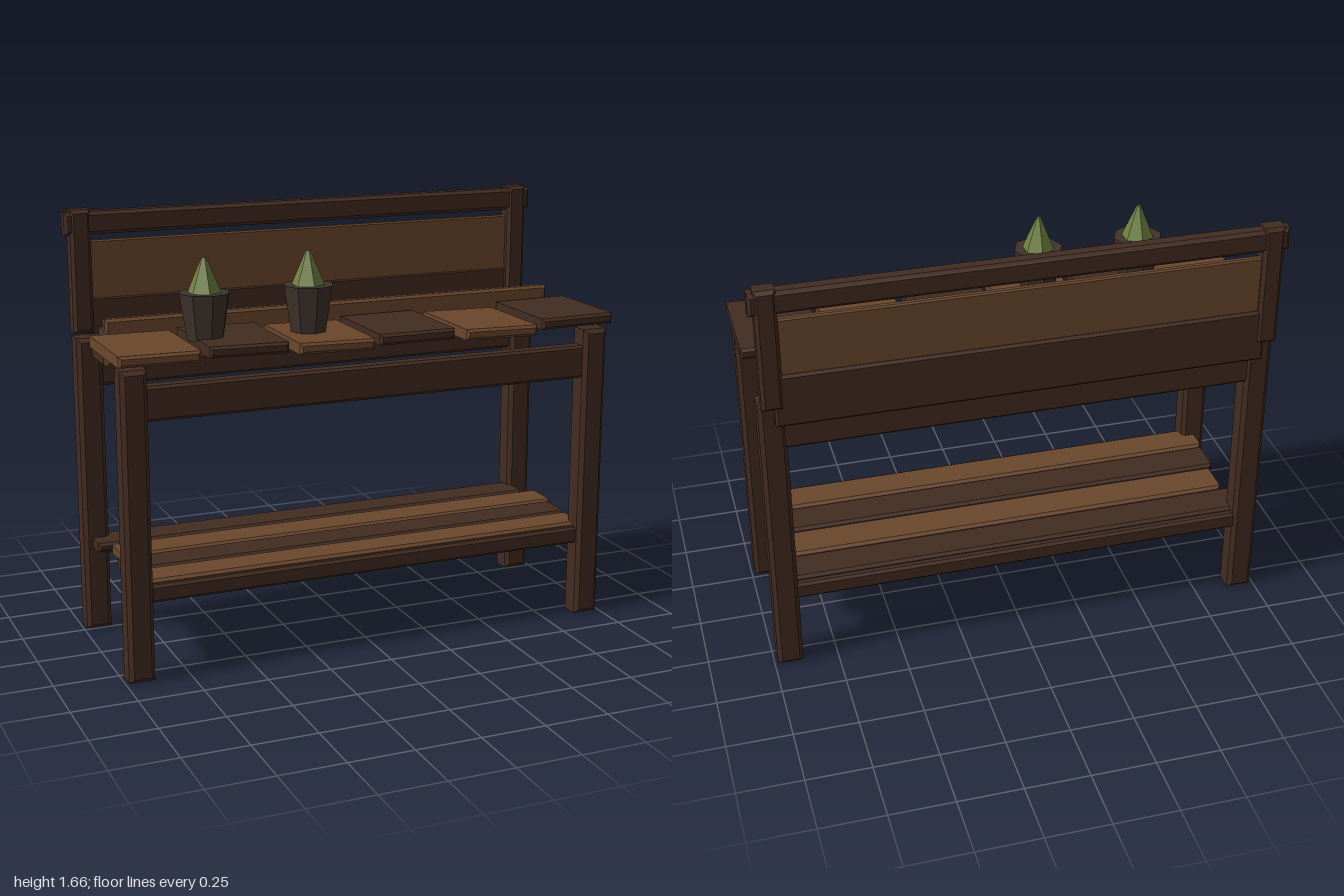
import * as THREE from 'three';

const material = (color) => new THREE.MeshStandardMaterial({ color, flatShading: true });

export function createModel() {
  const bench = new THREE.Group();
  bench.name = 'pottingBench';
  const dark = material(0x432c21);
  const brown = material(0x6b472d);
  const soilMat = material(0x483b31);
  const potMat = material(0x40342d);
  const leafMat = material(0x6f7f40);

  function add(name, geometry, mat, x = 0, y = 0, z = 0) {
    const mesh = new THREE.Mesh(geometry, mat);
    mesh.name = name;
    mesh.position.set(x, y, z);
    bench.add(mesh);
    return mesh;
  }

  // Timber with chamfered edges, given by its extents on each axis
  function timber(name, mat, [x0, x1], [y0, y1], [z0, z1], b = 0.01) {
    const w = (x1 - x0) / 2 - b, h = (y1 - y0) / 2 - b, d = z1 - z0 - 2 * b;
    const shape = new THREE.Shape([
      new THREE.Vector2(-w, -h), new THREE.Vector2(w, -h),
      new THREE.Vector2(w, h), new THREE.Vector2(-w, h),
    ]);
    const geometry = new THREE.ExtrudeGeometry(shape, {
      depth: d, bevelEnabled: true, bevelSize: b, bevelThickness: b, bevelSegments: 1,
    });
    geometry.translate(0, 0, -d / 2);
    return add(name, geometry, mat, (x0 + x1) / 2, (y0 + y1) / 2, (z0 + z1) / 2);
  }

  // Legs and back posts
  for (const s of [-1, 1]) {
    const x = 0.937 * s;
    timber('frontLeg', dark, [x - 0.05, x + 0.05], [0, 1.18], [0.255, 0.355], 0.016);
    timber('backLeg', dark, [x - 0.05, x + 0.05], [0, 1.18], [-0.345, -0.245], 0.016);
    timber('backPost', dark, [x - 0.04, x + 0.04], [1.185, 1.662], [-0.398, -0.32], 0.013);
  }

  // Long rails under the top and under the shelf
  for (const s of [-1, 1]) {
    const z = 0.303 * s;
    timber('apronRail', dark, [-0.91, 0.91], [0.985, 1.115], [z - 0.033, z + 0.033]);
    timber('shelfRail', dark, [-0.91, 0.91], [0.298, 0.365], [z - 0.03, z + 0.03]);
  }

  // Shelf boards: front z, back z, sideways shift
  [[0.31, 0.168, -0.01], [0.162, 0.01, 0.0], [0.0, -0.152, 0.025], [-0.16, -0.305, -0.025]]
    .forEach(([zFront, zBack, shift], i) => {
      timber('shelfBoard', i % 2 ? dark : brown, [-0.93 + shift, 0.93 + shift],
        [0.344, 0.38], [zBack, zFront], 0.011);
    });

  // Table top boards, unevenly laid: x range, z range, middle height, tilt
  [
    [-1.0, -0.695, -0.02, 0.385, 1.22, -0.01],
    [-0.662, -0.358, -0.02, 0.378, 1.224, -0.02],
    [-0.323, -0.025, 0.0, 0.395, 1.212, -0.02],
    [0.01, 0.318, -0.035, 0.362, 1.214, 0],
    [0.355, 0.658, -0.012, 0.387, 1.207, -0.02],
    [0.69, 0.998, -0.032, 0.37, 1.222, 0.01],
  ].forEach(([x0, x1, z0, z1, y, tilt], i) => {
    const board = timber('topBoard', i % 2 ? dark : brown, [x0, x1], [y - 0.021, y + 0.021], [z0, z1]);
    board.rotation.z = tilt;
  });

  // Planting trough
  timber('troughFront', brown, [-0.93, 0.93], [1.112, 1.29], [-0.083, -0.038]);
  timber('troughBase', dark, [-0.93, 0.93], [1.11, 1.15], [-0.385, -0.07]);
  timber('troughBack', dark, [-0.93, 0.93], [1.11, 1.32], [-0.39, -0.345]);
  add('soil', new THREE.BoxGeometry(1.75, 0.06, 0.27), soilMat, 0, 1.17, -0.212);

  // Clods on the soil
  [[-0.695, -0.17], [-0.345, -0.24], [-0.03, -0.27], [0.325, -0.19], [0.71, -0.255]]
    .forEach(([x, z], i) => {
      const clod = add('clod', new THREE.IcosahedronGeometry(0.058), soilMat, x, 1.2, z);
      clod.scale.y = 0.6;
      clod.rotation.y = i * 1.3;
    });

  // Backboard and top rail
  timber('backPanel', brown, [-0.905, 0.905], [1.29, 1.54], [-0.378, -0.35], 0.006);
  timber('topRail', dark, [-0.998, 0.998], [1.565, 1.653], [-0.392, -0.326], 0.013);

  // Potted plants
  for (const x of [-0.612, -0.205]) {
    add('pot', new THREE.CylinderGeometry(0.097, 0.07, 0.175, 8), potMat, x, 1.322, 0.175);
    add('plant', new THREE.CylinderGeometry(0.009, 0.064, 0.13, 6), leafMat, x, 1.473, 0.175);
  }

  return bench;
}
